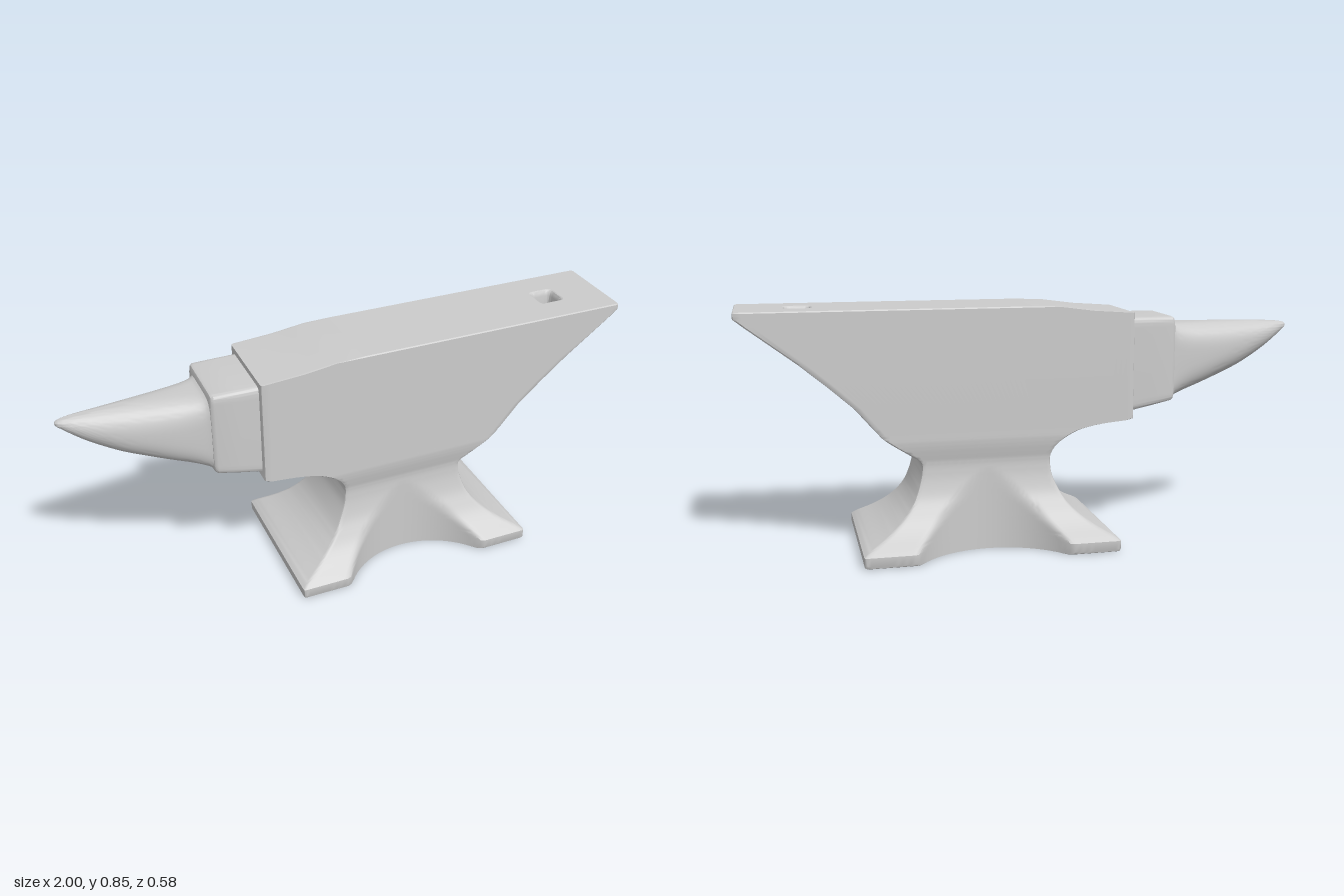
import * as THREE from 'three';
import { toCreasedNormals } from 'three/addons/utils/BufferGeometryUtils.js';

const material = new THREE.MeshStandardMaterial({ color: 0xcccccc });

// Skin a stack of closed rings that share one point count.
function loft(rings) {
  const n = rings[0].length, index = [];
  for (let i = 0; i < rings.length - 1; i++) {
    for (let j = 0; j < n; j++) {
      const a = i * n + j, b = i * n + (j + 1) % n;
      index.push(a, b, b + n, a, b + n, a + n);
    }
  }
  const geometry = new THREE.BufferGeometry().setFromPoints(rings.flat());
  geometry.setIndex(index);
  return toCreasedNormals(geometry, 0.6);
}

function addMesh(group, name, geometry) {
  const mesh = new THREE.Mesh(geometry, material);
  mesh.name = name;
  group.add(mesh);
}

// Rounded-square to round outline; power 2 is an ellipse.
function superellipse(power, count = 64) {
  const bend = v => Math.sign(v) * Math.abs(v) ** (2 / power);
  return Array.from({ length: count }, (_, i) => {
    const t = i / count * Math.PI * 2;
    return [bend(Math.cos(t)), bend(Math.sin(t))];
  });
}

// Cubic subdivision of table rows.
function smoothRows(rows, steps) {
  const size = rows[0].length;
  const curve = new THREE.CubicInterpolant(rows.map((_, i) => i), rows.flat(), size, new Array(size));
  const out = [];
  for (let i = 0; i <= (rows.length - 1) * steps; i++) out.push([...curve.evaluate(i / steps)]);
  return out;
}

// Height, right edge x, left edge x, half depth
const plinth = [[0, -0.27, 0.6, 0.28], [0.003, -0.277, 0.607, 0.286], [0.01, -0.28, 0.61, 0.289]];
const waist = [
  [0.04, -0.28, 0.61, 0.289], [0.055, -0.26, 0.59, 0.272], [0.085, -0.205, 0.535, 0.237],
  [0.12, -0.155, 0.485, 0.205], [0.16, -0.115, 0.445, 0.18], [0.2, -0.09, 0.42, 0.16],
  [0.25, -0.068, 0.402, 0.147], [0.29, -0.061, 0.394, 0.142], [0.32, -0.061, 0.397, 0.142],
  [0.345, -0.07, 0.43, 0.147], [0.37, -0.09, 0.468, 0.152], [0.395, -0.125, 0.505, 0.155],
  [0.415, -0.17, 0.53, 0.155], [0.43, -0.24, 0.542, 0.155], [0.44, -0.34, 0.552, 0.155],
];
const block = [
  [0.446, -0.36, 0.557, 0.155], [0.52, -0.36, 0.62, 0.155], [0.6, -0.36, 0.71, 0.155],
  [0.675, -0.36, 0.8, 0.155], [0.8, -0.36, 0.965, 0.155], [0.82, -0.36, 0.99, 0.155],
  [0.825, -0.29, 0.997, 0.155], [0.83, -0.22, 1, 0.155], [0.838, -0.16, 1, 0.155],
  [0.846, -0.1, 1, 0.155], [0.85, 0, 0.997, 0.152],
];

// Depth left by the round scoops in the front and back of the foot.
function scoopedDepth(x, y, depth) {
  if (y > 0.29) return depth;
  const dx = x - 0.165, r = 0.309;
  if (Math.abs(dx) >= r) return depth;
  const scoop = 0.451 - Math.sqrt(r * r - dx * dx);
  const k = 0.0001 + 0.02 * Math.min(1, (0.29 - y) / 0.15);
  const h = Math.max(k - Math.abs(depth - scoop), 0) / k;
  return Math.min(depth, scoop) - h * h * k / 4;
}

// Horizontal section with slightly rounded corners.
function bodyRing([y, x0, x1, depth]) {
  const r = 0.008, columns = 60, front = [];
  const add = (x, inset) => front.push(new THREE.Vector3(x, y, Math.max(0, scoopedDepth(x, y, depth) - inset)));
  add(x0, r);
  add(x0 + 0.3 * r, 0.3 * r);
  for (let i = 0; i <= columns; i++) add(THREE.MathUtils.lerp(x0 + r, x1 - r, i / columns), 0);
  add(x1 - 0.3 * r, 0.3 * r);
  add(x1, r);
  const back = front.map(p => new THREE.Vector3(p.x, p.y, -p.z)).reverse();
  return [...front, ...back];
}

export function createModel() {
  const group = new THREE.Group();
  group.name = 'anvil';

  // Foot, waist and block in one skin, closed underneath
  const rings = [...plinth, ...smoothRows(waist, 4), ...block].map(bodyRing);
  const underside = rings[0].map(p => new THREE.Vector3(p.x, 0, 0));
  addMesh(group, 'body', loft([underside, ...rings]));

  // Flat working face with a square hole near the heel
  const holeX = 0.79, square = superellipse(6);
  const holeRing = (half, y) => square.map(([c, s]) => new THREE.Vector3(holeX + c * half, y, -s * half));
  const rim = holeRing(0.05, 0.85);
  const toFlat = p => new THREE.Vector2(p.x, -p.z);
  const face = new THREE.Shape(rings[rings.length - 1].map(toFlat));
  face.holes.push(new THREE.Path(rim.map(toFlat)));
  addMesh(group, 'workingFace', new THREE.ShapeGeometry(face).rotateX(-Math.PI / 2).translate(0, 0.85, 0));
  addMesh(group, 'squareHole', loft([
    rim, holeRing(0.045, 0.848), holeRing(0.041, 0.842), holeRing(0.038, 0.83),
    holeRing(0.036, 0.8), holeRing(0, 0.8),
  ]));

  // Section across x: x, bottom y, top y, half depth, outline power
  const section = ([x, bottom, top, depth, power]) => superellipse(power).map(([c, s]) =>
    new THREE.Vector3(x, (top + bottom) / 2 + s * (top - bottom) / 2, c * depth));

  // Stepped shoulder between block and horn
  addMesh(group, 'shoulder', loft([
    [-0.35, 0.464, 0.8, 0.131, 18], [-0.43, 0.48, 0.8, 0.13, 18], [-0.51, 0.497, 0.8, 0.127, 18],
    [-0.518, 0.501, 0.796, 0.123, 16], [-0.522, 0.506, 0.786, 0.118, 12], [-0.522, 0.64, 0.64, 0, 12],
  ].map(section)));

  // Tapering horn, squarish at the root and round at the tip
  const horn = smoothRows([
    [-0.515, 0.497, 0.78, 0.117, 6], [-0.535, 0.505, 0.771, 0.111, 4.5], [-0.58, 0.52, 0.77, 0.105, 3.4],
    [-0.65, 0.543, 0.77, 0.096, 2.8], [-0.73, 0.573, 0.77, 0.083, 2.4], [-0.8, 0.603, 0.769, 0.07, 2.2],
    [-0.86, 0.636, 0.768, 0.057, 2], [-0.91, 0.669, 0.766, 0.044, 2], [-0.95, 0.7, 0.764, 0.031, 2],
    [-0.98, 0.725, 0.76, 0.018, 2], [-0.995, 0.738, 0.755, 0.009, 2], [-1, 0.747, 0.747, 0, 2],
  ], 3);
  addMesh(group, 'horn', loft(horn.map(section)));

  return group;
}
